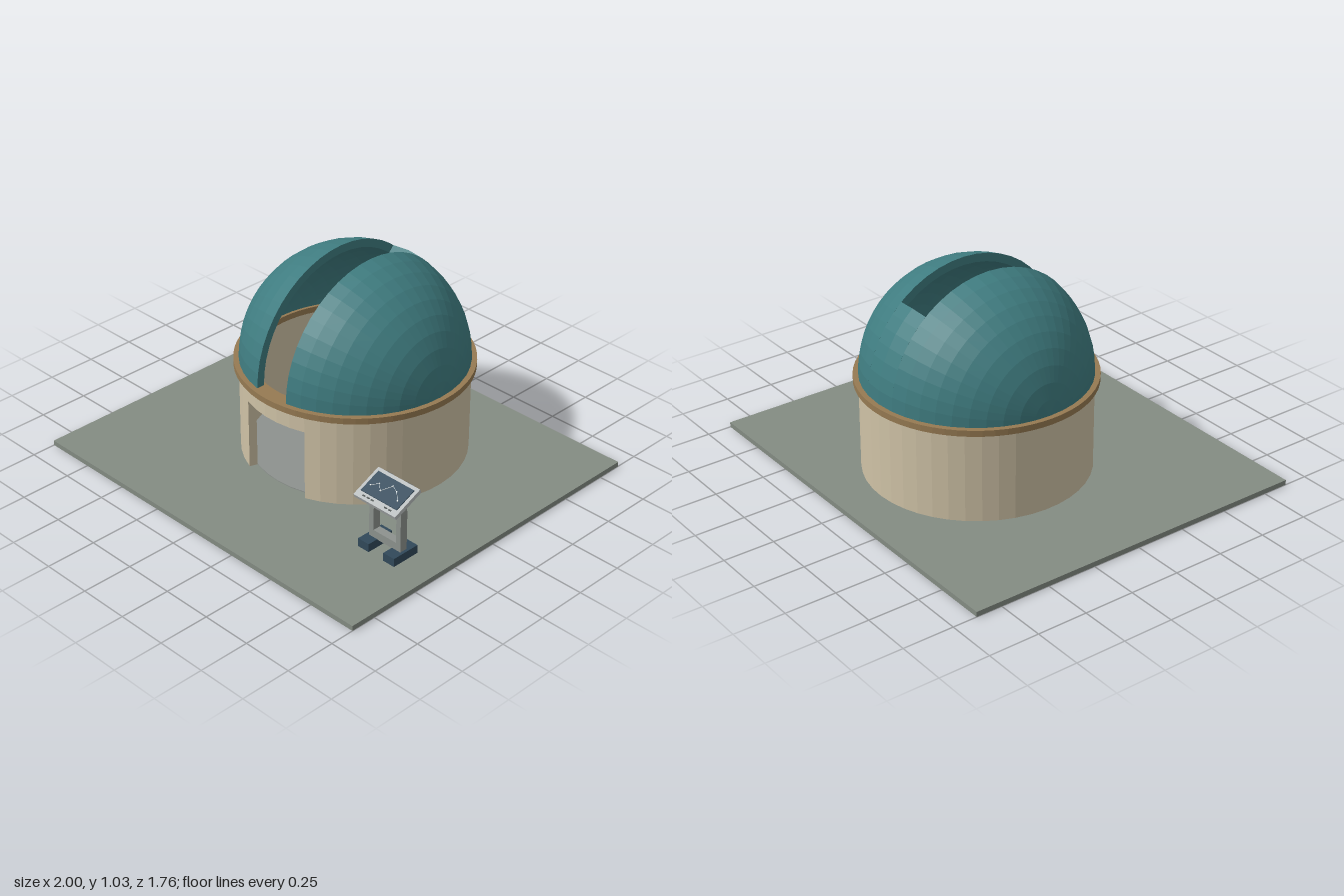
import * as THREE from 'three';
import { mergeGeometries } from 'three/addons/utils/BufferGeometryUtils.js';

const mat = (name, color) => {
  const m = new THREE.MeshStandardMaterial({ color });
  m.name = name;
  return m;
};
const DEG = Math.PI / 180;
const CZ = -0.14; // z of the building's axis
const R = 0.54, RI = 0.5; // outer and inner radius of wall and dome
const SLIT = 0.093; // half width of the dome opening

// Closed counter-clockwise (radius, height) profile swept about y, with end caps
function sweep(profile, startDeg, lengthDeg, segments) {
  const pts = profile.map(([r, y]) => new THREE.Vector2(r, y));
  const parts = [new THREE.LatheGeometry([...pts, pts[0].clone()], segments, startDeg * DEG, lengthDeg * DEG)];
  if (lengthDeg < 360) {
    [startDeg, startDeg + lengthDeg].forEach((deg, i) => {
      const cap = new THREE.ShapeGeometry(new THREE.Shape(pts));
      if (i) cap.setIndex([...cap.index.array].reverse());
      parts.push(cap.rotateY(deg * DEG - Math.PI / 2));
    });
  }
  return mergeGeometries(parts);
}

const block = (r0, r1, y0, y1) => [[r0, y0], [r1, y0], [r1, y1], [r0, y1]];

// Shell profile between two positions along the dome's sideways axis
function shell(a0, a1, n) {
  const arc = (r) => Array.from({ length: n + 1 }, (_, i) => {
    const s = Math.asin(Math.min(1, a0 / r)), e = Math.asin(Math.min(1, a1 / r));
    const t = s + (e - s) * i / n;
    return [Math.max(0, r * Math.cos(t)), r * Math.sin(t)];
  });
  return [...arc(R), ...arc(RI).reverse()];
}

export function createModel() {
  const M = {
    ground: mat('ground grey', 0x848c83),
    floor: mat('metal grey', 0x8d928e),
    wall: mat('cream', 0xcfc2a6),
    trim: mat('bronze', 0x967a52),
    dome: mat('teal', 0x3f7c80),
    navy: mat('dark blue', 0x31495a),
    light: mat('light grey', 0xb9bdbe),
    dark: mat('charcoal', 0x4a5150),
    white: mat('white', 0xe2e8e8),
  };
  const model = new THREE.Group();
  model.name = 'observatory';

  // Facetted mesh
  const add = (parent, name, geometry, material, x = 0, y = 0, z = 0) => {
    const g = geometry.index ? geometry.toNonIndexed() : geometry;
    g.computeVertexNormals();
    const mesh = new THREE.Mesh(g, material);
    mesh.name = name;
    mesh.position.set(x, y, z);
    parent.add(mesh);
    return mesh;
  };
  const box = (parent, name, w, h, d, material, x, y, z) =>
    add(parent, name, new THREE.BoxGeometry(w, h, d), material, x, y, z);
  const group = (parent, name, x = 0, y = 0, z = 0) => {
    const g = new THREE.Group();
    g.name = name;
    g.position.set(x, y, z);
    parent.add(g);
    return g;
  };
  // Round bar between two points
  const bar = (parent, name, a, b, r0, r1, material) => {
    const p = new THREE.Vector3(...a), q = new THREE.Vector3(...b);
    const m = add(parent, name, new THREE.CylinderGeometry(r1, r0, p.distanceTo(q), 8), material);
    m.position.copy(p).lerp(q, 0.5);
    m.quaternion.setFromUnitVectors(new THREE.Vector3(0, 1, 0), q.sub(p).normalize());
    return m;
  };

  box(model, 'groundSlab', 2, 0.025, 1.76, M.ground, 0, 0.0125, 0);

  // Round building with a doorway at the front
  const building = group(model, 'building', 0, 0, CZ);
  add(building, 'floor', new THREE.CylinderGeometry(RI, RI, 0.004, 40), M.floor, 0, 0.027, 0);
  add(building, 'wall', sweep(block(RI, R, 0.025, 0.47), 20, 320, 40), M.wall);
  add(building, 'doorLintel', sweep(block(RI, R, 0.38, 0.47), -20, 40, 5), M.wall);
  add(building, 'domeRing', sweep(block(0.485, 0.565, 0.47, 0.5), 0, 360, 64), M.trim);

  // Dome: two side shells and a back panel leave the viewing slit open
  const dome = group(building, 'dome', 0, 0.5, 0);
  const side = shell(SLIT, R, 10);
  const mirrored = side.map(([r, y]) => [r, -y]).reverse();
  const turn = (g) => g.rotateZ(-Math.PI / 2);
  add(dome, 'domeLeft', turn(sweep(side, 180, 180, 24)), M.dome);
  add(dome, 'domeRight', turn(sweep(mirrored, 180, 180, 24)), M.dome);
  add(dome, 'domeBackPanel', turn(sweep(shell(-SLIT, SLIT, 2), 180, 50, 7)), M.dome);

  // Telescope on its tripod
  const scope = group(model, 'telescope', 0, 0, -0.1);
  for (const deg of [0, 120, 240]) {
    const s = Math.sin(deg * DEG), c = Math.cos(deg * DEG);
    bar(scope, 'tripodLeg', [s * 0.03, 0.3, c * 0.03], [s * 0.18, 0.04, c * 0.18], 0.011, 0.008, M.trim);
    const foot = box(scope, 'tripodFoot', 0.045, 0.018, 0.045, M.dark, s * 0.183, 0.037, c * 0.183);
    foot.rotation.y = deg * DEG;
    bar(scope, 'tripodBrace', [0, 0.17, 0], [s * 0.1, 0.175, c * 0.1], 0.004, 0.004, M.trim);
  }
  add(scope, 'tripodHub', new THREE.CylinderGeometry(0.032, 0.028, 0.05, 12), M.floor, 0, 0.312, 0);
  add(scope, 'tripodHead', new THREE.CylinderGeometry(0.055, 0.055, 0.028, 12), M.dark, 0, 0.351, 0);
  for (const s of [-1, 1]) {
    bar(scope, 'forkBase', [s * 0.02, 0.36, 0], [s * 0.08, 0.41, -0.02], 0.009, 0.009, M.trim);
    bar(scope, 'forkArm', [s * 0.08, 0.41, -0.02], [s * 0.03, 0.43, 0.01], 0.009, 0.009, M.trim);
  }
  const tube = group(scope, 'opticalTube', 0, 0.42, 0);
  tube.rotation.x = 59 * DEG;
  const cyl = (name, r0, r1, y0, y1, m) =>
    add(tube, name, new THREE.CylinderGeometry(r1, r0, y1 - y0, 16), m, 0, (y0 + y1) / 2, 0);
  cyl('mainTube', 0.028, 0.03, -0.15, 0.12, M.wall);
  cyl('dewHood', 0.037, 0.037, 0.11, 0.165, M.wall);
  cyl('lens', 0.028, 0.028, 0.165, 0.168, M.navy);
  cyl('clamp', 0.036, 0.036, -0.02, 0.02, M.trim);
  cyl('focuser', 0.014, 0.016, -0.175, -0.15, M.dark);
  cyl('eyepiece', 0.009, 0.009, -0.2, -0.175, M.dark);

  // Sloping panel: light tray with a dark screen
  const panel = (parent, w, d, y, tilt) => {
    const p = group(parent, 'panel', 0, y, 0);
    p.rotation.x = tilt;
    box(p, 'tray', w, 0.02, d, M.light, 0, 0, 0);
    box(p, 'screen', w - 0.035, 0.005, d * 0.7, M.navy, 0, 0.0115, -d * 0.04);
    return p;
  };

  // Work desk at the back of the room
  const desk = group(model, 'desk', 0, 0, -0.385);
  panel(desk, 0.14, 0.15, 0.2, 0.42);
  box(desk, 'deskShelf', 0.14, 0.012, 0.03, M.floor, 0, 0.25, -0.065);
  for (const x of [-0.048, 0.048]) {
    for (const z of [-0.05, 0.04]) box(desk, 'deskLeg', 0.014, z < 0 ? 0.19 : 0.155, 0.014, M.floor, x, z < 0 ? 0.12 : 0.103, z);
  }
  for (const y of [0.095, 0.14]) box(desk, 'deskRung', 0.1, 0.012, 0.012, M.wall, 0, y, 0.04);

  // Outdoor information stand
  const stand = group(model, 'infoStand', 0.725, 0, 0.385);
  for (const x of [-0.077, 0.077]) box(stand, 'standFoot', 0.065, 0.042, 0.148, M.navy, x, 0.046, 0);
  const frame = new THREE.Shape();
  frame.moveTo(-0.095, 0.065).lineTo(0.095, 0.065).lineTo(0.095, 0.255)
    .quadraticCurveTo(0.095, 0.3, 0.06, 0.3).lineTo(-0.06, 0.3).quadraticCurveTo(-0.095, 0.3, -0.095, 0.255);
  const hole = new THREE.Path();
  hole.moveTo(-0.068, 0.105).lineTo(-0.068, 0.245).quadraticCurveTo(-0.068, 0.28, -0.045, 0.28)
    .lineTo(0.045, 0.28).quadraticCurveTo(0.068, 0.28, 0.068, 0.245).lineTo(0.068, 0.105);
  frame.holes.push(hole);
  add(stand, 'standFrame', new THREE.ExtrudeGeometry(frame, { depth: 0.04, bevelEnabled: false, curveSegments: 5 }), M.floor, 0, 0, -0.02);
  const sign = panel(stand, 0.25, 0.17, 0.327, 0.42);
  sign.position.z = 0.008;

  // Star pattern and small marks on the sign
  const stars = [[-0.085, 0.01], [-0.055, -0.015], [-0.025, 0.012], [0.01, -0.035], [0.045, -0.02], [0.08, 0.015]];
  stars.forEach(([x, z], i) => {
    box(sign, 'star', 0.006, 0.003, 0.006, M.white, x, 0.0155, z);
    if (!i) return;
    const [px, pz] = stars[i - 1];
    const line = box(sign, 'starLine', Math.hypot(x - px, z - pz), 0.002, 0.0015, M.white, (x + px) / 2, 0.015, (z + pz) / 2);
    line.rotation.y = -Math.atan2(z - pz, x - px);
  });
  for (const x of [-0.075, -0.05, -0.025, 0.055, 0.08]) box(sign, 'captionMark', 0.016, 0.003, 0.006, M.dark, x, 0.0115, 0.068);
  for (const x of [-0.06, 0.06]) box(sign, 'hinge', 0.04, 0.012, 0.006, M.dark, x, 0, -0.086);
  return model;
}
